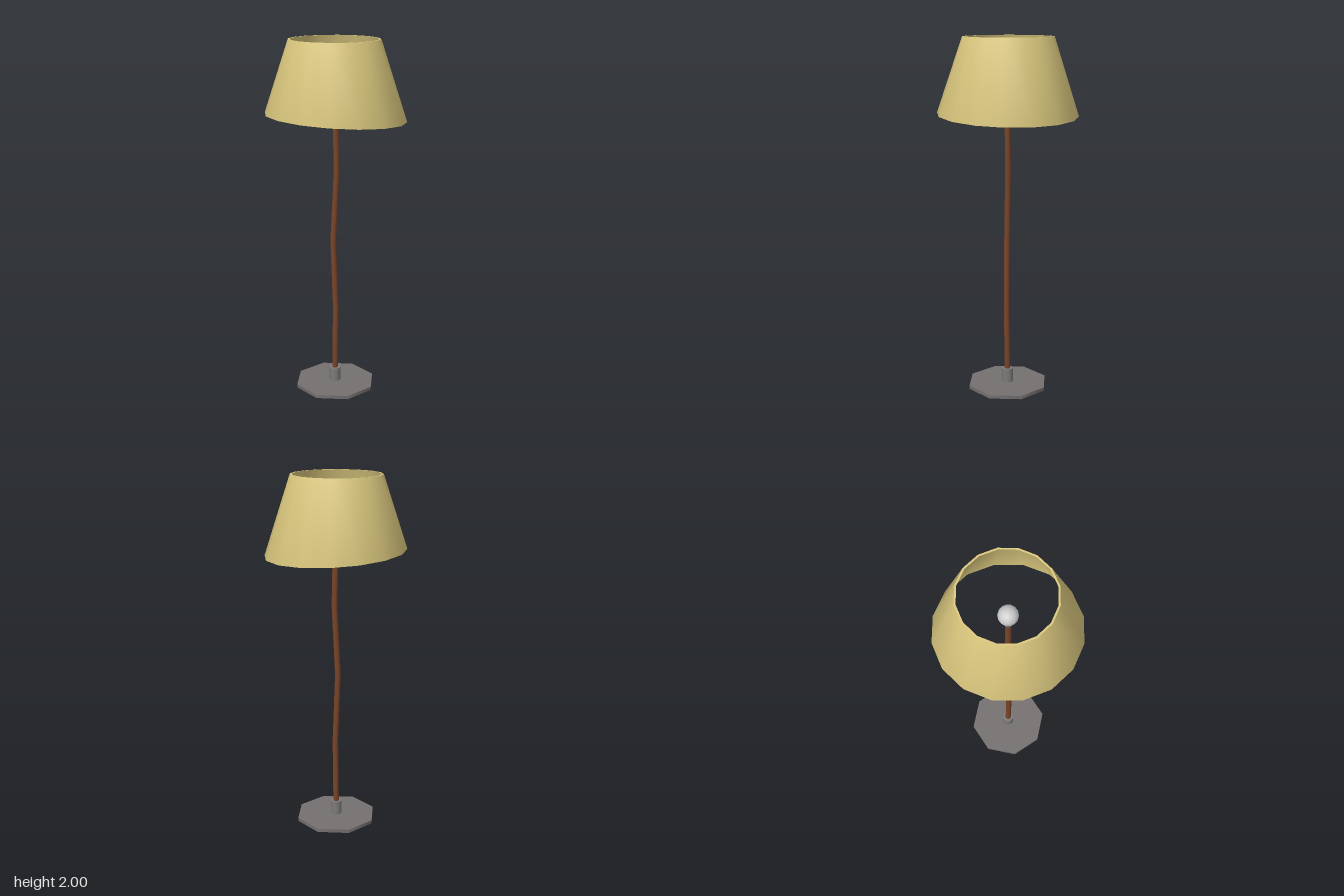
import * as THREE from 'three';

const material = (color) => new THREE.MeshStandardMaterial({ color });

export function createModel() {
  const group = new THREE.Group();
  const shadeMat = material(0xdcc97f);
  const woodMat = material(0x7a4429);
  const baseMat = material(0x767070);
  const metalMat = material(0x7c7a7a);
  const bulbMat = material(0xcccccc);

  const add = (name, geometry, mat, x = 0, y = 0, z = 0) => {
    const mesh = new THREE.Mesh(geometry, mat);
    mesh.name = name;
    mesh.position.set(x, y, z);
    group.add(mesh);
    return mesh;
  };

  // Octagonal foot and the collar that holds the pole
  add('base', new THREE.CylinderGeometry(0.232, 0.232, 0.02, 8), baseMat, -0.003, 0.01, 0);
  add('collar', new THREE.CylinderGeometry(0.032, 0.032, 0.08, 12), metalMat, -0.004, 0.06, 0);

  // Slightly crooked wooden pole
  const path = new THREE.CatmullRomCurve3([
    new THREE.Vector3(-0.004, 0.08, 0),
    new THREE.Vector3(-0.001, 0.47, 0.006),
    new THREE.Vector3(-0.014, 0.88, -0.001),
    new THREE.Vector3(0.007, 1.33, 0),
    new THREE.Vector3(-0.003, 1.68, 0.002),
  ]);
  add('pole', new THREE.TubeGeometry(path, 4, 0.017, 8), woodMat);

  // Socket and bulb
  add('socket', new THREE.CylinderGeometry(0.03, 0.024, 0.06, 12), metalMat, -0.003, 1.7, 0);
  add('bulb', new THREE.SphereGeometry(0.053, 14, 10), bulbMat, -0.003, 1.766, 0);

  // Shade wall: inside down, round the lower edge, outside up
  const V = (r, y) => new THREE.Vector2(r, y);
  const wall = new THREE.LatheGeometry(
    [V(0.24, 2), V(0.379, 1.58), V(0.389, 1.58), V(0.25, 2)], 16);
  const pos = wall.attributes.position;
  const normal = wall.attributes.normal;
  for (let i = 0; i < pos.count; i++) {
    if (pos.getY(i) < 1.9) {
      // Tilt the lower edge and soften its normals
      pos.setY(i, 1.58 - 0.063 * pos.getX(i));
      normal.setY(i, normal.getY(i) * 0.3);
    } else {
      // The top opening sits a little off centre
      pos.setX(i, pos.getX(i) - 0.005);
      pos.setZ(i, pos.getZ(i) - 0.005);
    }
  }
  wall.normalizeNormals();
  add('shade', wall, shadeMat);

  // Flat rim closing the top of the wall
  const rim = new THREE.LatheGeometry([V(0.25, 2), V(0.24, 2)], 16);
  add('shadeRim', rim, shadeMat, -0.005, 0, -0.005);

  return group;
}
